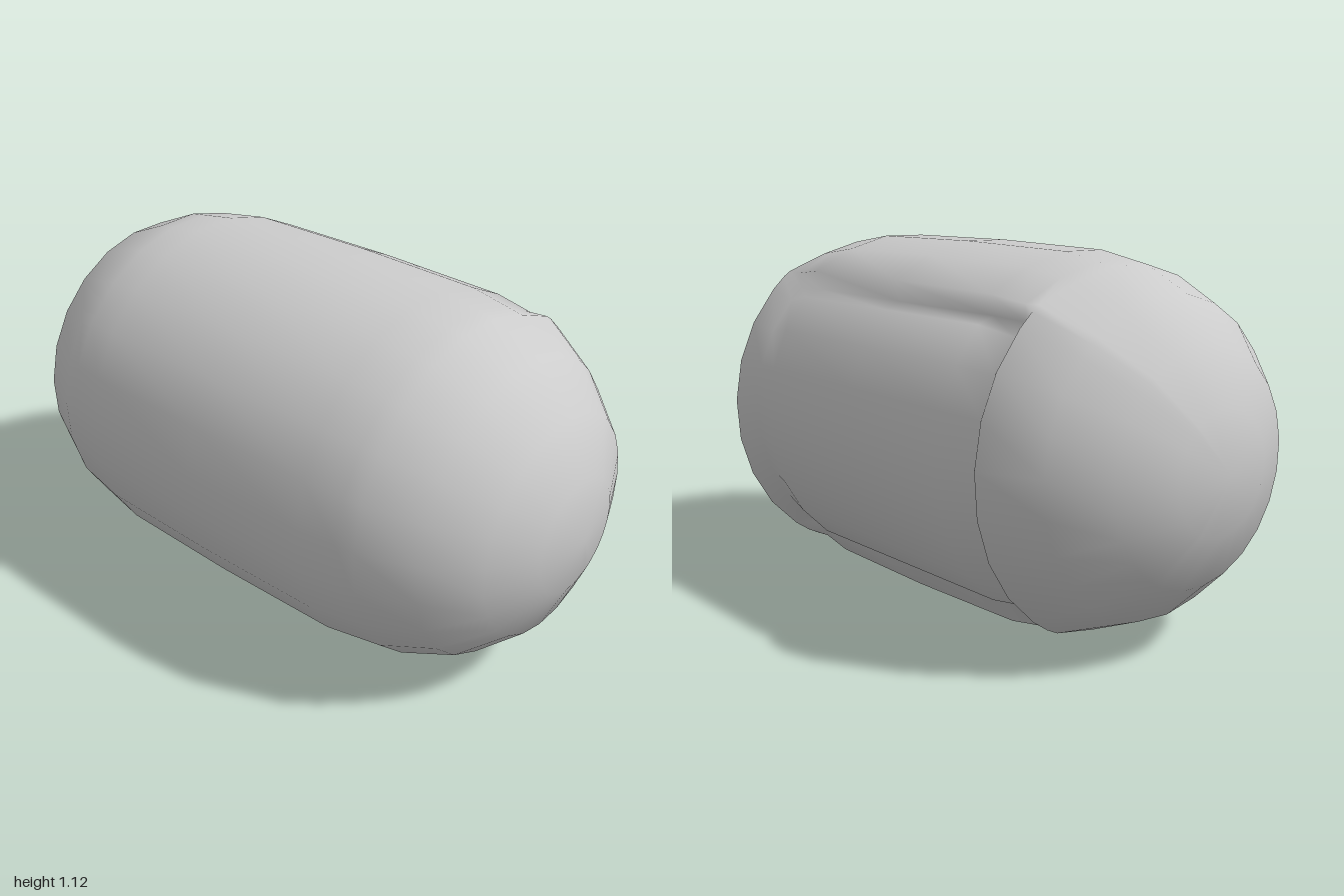
import * as THREE from 'three';
import { mergeVertices } from 'three/addons/utils/BufferGeometryUtils.js';

const CENTRE_Y = 0.567;
// Half of the capsule's outline: [z, radius], middle to tip
const OUTLINE = [[0, 0.563], [0.41, 0.56], [0.61, 0.527], [0.77, 0.457], [0.9, 0.335], [0.97, 0.175], [1, 0]];
const HALF_Z = [0, 0.43, 0.555, 0.61, 0.77, 0.9, 0.97, 1];
const LIP_Z = 0.61, GROOVE_Z = 0.555;

function bodyRadius(z) {
  const k = Math.max(1, OUTLINE.findIndex(p => p[0] >= z));
  const [z0, r0] = OUTLINE[k - 1], [z1, r1] = OUTLINE[k];
  return r0 + (r1 - r0) * (z - z0) / (z1 - z0);
}

// Columns around the z axis: angle in degrees and zone
function columns() {
  const cols = [{ a: -63, zone: 'lip' }, { a: -58.5, zone: 'groove' }];
  for (let i = 0; i <= 7; i++) cols.push({ a: -52 + i * 96 / 7, zone: 'floor' });
  cols.push({ a: 50, zone: 'groove' }, { a: 53, zone: 'lip' });
  for (let i = 1; i < 16; i++) cols.push({ a: 53 + i * 244 / 16, zone: 'body' });
  cols.push({ a: 297, zone: 'lip' });
  return cols;
}

// Radius of the shell, with the sunken side panel and its raised rim
function radiusAt(z, zone) {
  const base = bodyRadius(z);
  if (zone === 'body' || z > LIP_Z) return base;
  if (zone === 'lip') return z === LIP_Z ? 0.55 : base + 0.01;
  if (z === LIP_Z) return 0.552;
  if (z === GROOVE_Z) return 0.505;
  return zone === 'groove' ? 0.512 : 0.537;
}

export function createModel() {
  const group = new THREE.Group();
  const rows = [...HALF_Z.slice(1).reverse().map(z => -z), ...HALF_Z];
  const cols = columns();
  const pos = [], index = [];

  rows.forEach((z, i) => cols.forEach(({ a, zone }, j) => {
    const r = radiusAt(Math.abs(z), zone);
    const t = THREE.MathUtils.degToRad(a);
    pos.push(r * Math.cos(t), CENTRE_Y + r * Math.sin(t), z);
    if (i < rows.length - 1 && j < cols.length - 1) {
      const p = i * cols.length + j, q = p + cols.length;
      if (i < rows.length - 2) index.push(p, q + 1, q);
      if (i > 0) index.push(p, p + 1, q + 1);
    }
  }));

  let geo = new THREE.BufferGeometry();
  geo.setAttribute('position', new THREE.Float32BufferAttribute(pos, 3));
  geo.setIndex(index);
  // Close the seam and the two tips
  geo = mergeVertices(geo, 1e-4);
  geo.computeVertexNormals();

  const shell = new THREE.Mesh(geo, new THREE.MeshStandardMaterial({ color: 0xcccccc }));
  shell.name = 'capsuleWithSunkenPanel';
  group.add(shell);
  return group;
}
